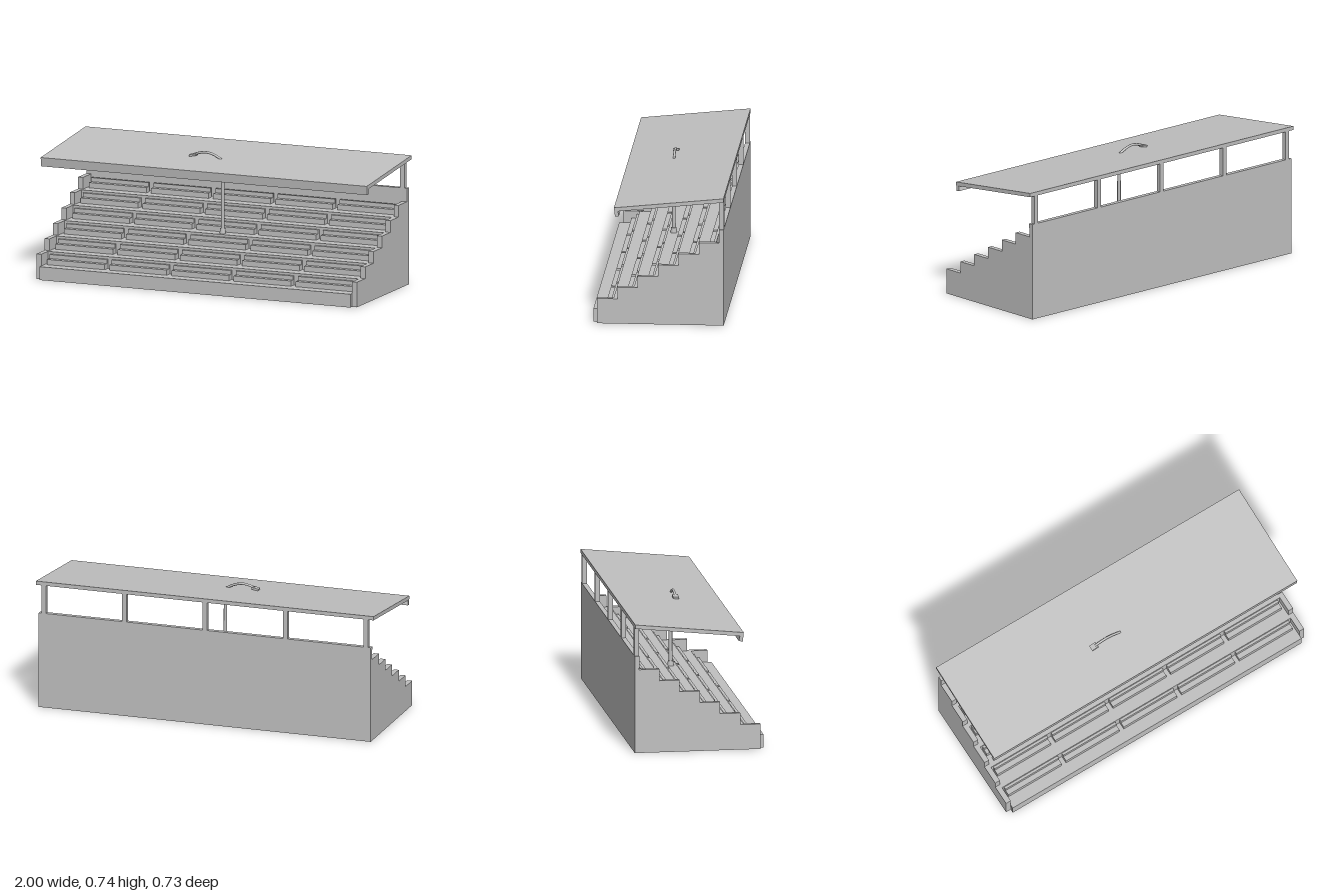
import * as THREE from 'three';

export function createModel() {
  const model = new THREE.Group();
  const grey = new THREE.MeshStandardMaterial({ color: 0xc0c0c0 });
  grey.name = 'light grey';

  const add = (name, geometry, x = 0, y = 0, z = 0) => {
    const mesh = new THREE.Mesh(geometry, grey);
    mesh.name = name;
    mesh.position.set(x, y, z);
    model.add(mesh);
    return mesh;
  };
  // Box given by its limits on each axis
  const box = (name, x0, x1, y0, y1, z0, z1) =>
    add(name, new THREE.BoxGeometry(x1 - x0, y1 - y0, z1 - z0), (x0 + x1) / 2, (y0 + y1) / 2, (z0 + z1) / 2);
  // Side profile of [z, y] points, swept across x0..x1
  const sweep = (name, points, x0, x1) => {
    const shape = new THREE.Shape(points.map(([z, y]) => new THREE.Vector2(z, y)));
    const geometry = new THREE.ExtrudeGeometry(shape, { depth: x1 - x0, bevelEnabled: false });
    geometry.rotateY(-Math.PI / 2).translate(x1, 0, 0);
    return add(name, geometry);
  };

  const back = -0.367, front = 0.367, run = 0.1145, rise = 0.0667, first = 0.076, rows = 6;

  // Stepped side walls
  const wall = [[back, 0], [0.345, 0]];
  for (let k = 0; k < rows; k++) {
    const y = 0.143 + k * rise, z = 0.345 - k * run;
    wall.push([z, y], [z - run, y]);
  }
  wall.push([-0.34, 0.553], [back, 0.553]);
  sweep('rightSideWall', wall, -0.983, -0.953);
  sweep('leftSideWall', wall, 0.953, 0.983);

  // Back wall and roof posts
  box('backWall', -0.953, 0.953, 0, 0.553, back, -0.34);
  for (let i = -2; i <= 2; i++) {
    const x = i * 0.477;
    box('roofPost', x - 0.013, x + 0.013, 0.553, 0.718, back, -0.34);
  }

  // Hollow stepped deck: upper outline forward to back, then the underside
  const t = 0.02, upper = [], under = [];
  for (let k = 0; k < rows; k++) {
    const z = front - k * run, y = first + k * rise;
    const zEnd = k === rows - 1 ? -0.34 : z - run;
    upper.push([z, k ? y : first], [zEnd, y]);
    under.push([z - t, y - t], [k === rows - 1 ? -0.34 : zEnd - t, y - t]);
  }
  sweep('steppedDeck', [[front, 0], ...upper, ...under.reverse(), [front - t, 0]], -0.953, 0.953);

  // Five benches on every step: seat with a low back
  for (let k = 0; k < rows; k++) {
    const y = first + k * rise, z = front - k * run;
    for (let i = -2; i <= 2; i++) {
      const x0 = i * 0.381 - 0.176, x1 = x0 + 0.352;
      box('benchSeat', x0, x1, y, y + 0.03, z - 0.1, z - 0.07);
      box('benchBack', x0, x1, y, y + 0.053, z - run, z - 0.1);
    }
  }

  // Sloping roof with a front lip
  sweep('roof', [[back, 0.716], [0.226, 0.654], [0.22, 0.626], [0.242, 0.623],
    [0.248, 0.674], [back, 0.738]], -1, 1);

  // Lamp post standing on the fourth step, passing through the roof
  const lz = -0.012;
  const turned = (name, r0, r1, y0, y1) =>
    add(name, new THREE.CylinderGeometry(r1, r0, y1 - y0, 8).toNonIndexed(), 0, (y0 + y1) / 2, lz);
  turned('lampBase', 0.019, 0.015, 0.276, 0.305);
  turned('lampPole', 0.011, 0.009, 0.3, 0.7);
  turned('lampCollar', 0.012, 0.017, 0.663, 0.673);
  const arm = new THREE.CatmullRomCurve3([
    [0, 0.69], [-0.02, 0.704], [-0.06, 0.722], [-0.1, 0.73], [-0.14, 0.725], [-0.175, 0.713],
  ].map(([x, y]) => new THREE.Vector3(x, y, lz)));
  add('lampArm', new THREE.TubeGeometry(arm, 16, 0.007, 8));
  const head = add('lampHead', new THREE.BoxGeometry(0.04, 0.012, 0.032), -0.18, 0.71, lz);
  head.rotation.z = 0.2;
  box('lampShade', -0.2, -0.16, 0.674, 0.677, -0.044, 0.02);

  // Rail beneath the deck
  box('underRail', 0, 0.5, 0.045, 0.06, -0.022, -0.01);
  for (const x of [0.01, 0.15, 0.35]) box('underRailBracket', x - 0.008, x + 0.008, 0.03, 0.06, -0.026, -0.006);
  box('underRailFoot', -0.02, 0.025, 0.02, 0.05, -0.035, 0.005);

  return model;
}
